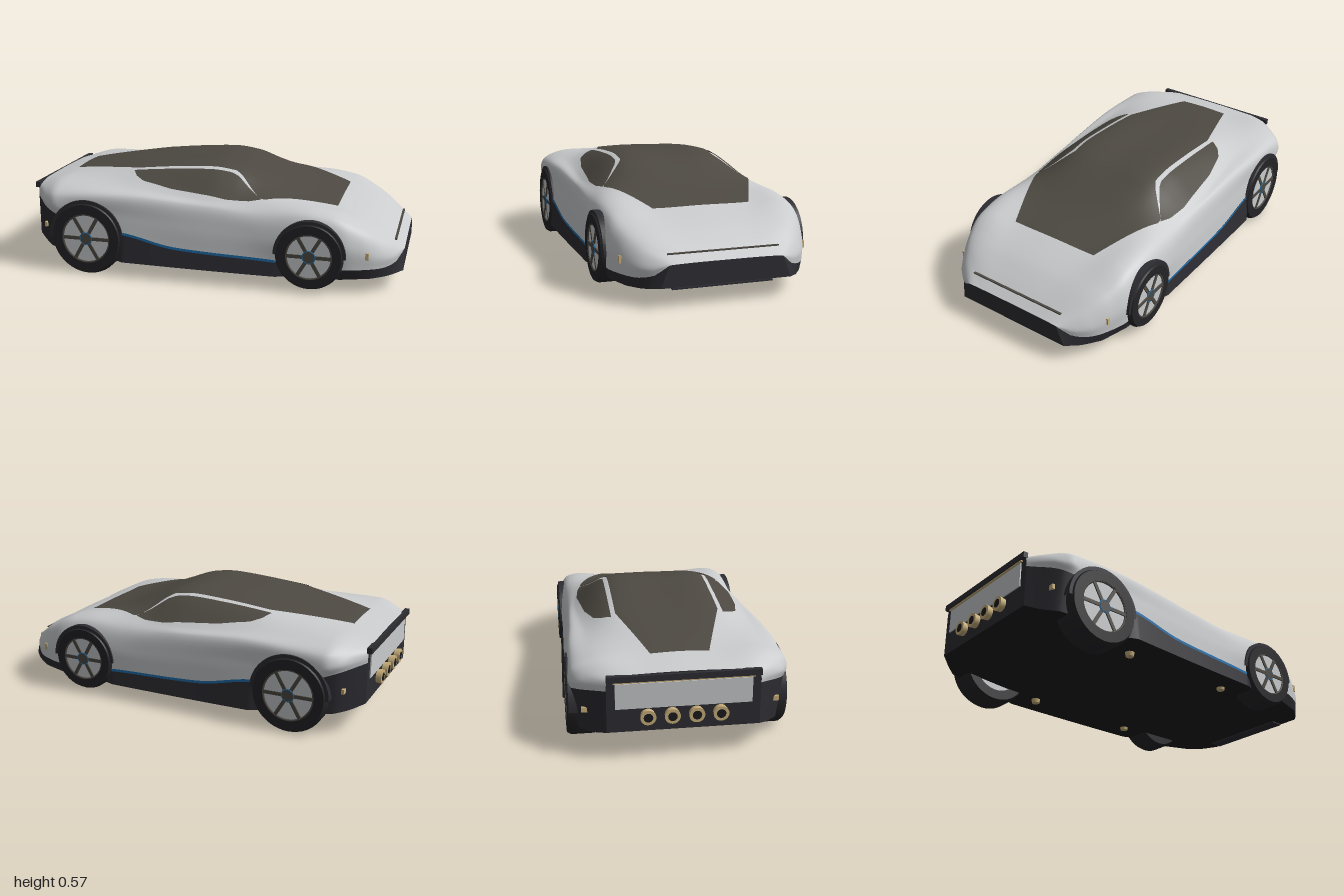
import * as THREE from 'three';
import { toCreasedNormals } from 'three/addons/utils/BufferGeometryUtils.js';

const mat = (name, color) => {
  const m = new THREE.MeshStandardMaterial({ color, side: THREE.DoubleSide });
  m.name = name;
  return m;
};
const silver = mat('silver paint', 0xc9cbcd), dark = mat('dark trim', 0x2c2c32);
const black = mat('black underside', 0x1b1b1e), tyreMat = mat('tyre rubber', 0x242427);
const glass = mat('tinted glass', 0x4d4942), blue = mat('blue accent', 0x1f72b0);
const gold = mat('gold metal', 0xc9b07c);

const lerp = THREE.MathUtils.lerp;

// Straight-line interpolation through [x, value] pairs
const line = (...p) => x => {
  let i = 0;
  while (i < p.length - 2 && x > p[i + 1][0]) i++;
  const t = (x - p[i][0]) / (p[i + 1][0] - p[i][0]);
  return lerp(p[i][1], p[i + 1][1], THREE.MathUtils.clamp(t, 0, 1));
};
// Smooth interpolation without overshoot
const smooth = (...p) => {
  const d = p.slice(1).map((q, i) => (q[1] - p[i][1]) / (q[0] - p[i][0]));
  const m = p.map((_, i) => {
    if (i === 0) return d[0];
    if (i === p.length - 1) return d[i - 1];
    return d[i - 1] * d[i] <= 0 ? 0 : 2 * d[i - 1] * d[i] / (d[i - 1] + d[i]);
  });
  return x => {
    let i = 0;
    while (i < p.length - 2 && x > p[i + 1][0]) i++;
    const h = p[i + 1][0] - p[i][0], t = (x - p[i][0]) / h, s = 1 - t;
    return p[i][1] * (1 + 2 * t) * s * s + m[i] * h * t * s * s
      + p[i + 1][1] * t * t * (3 - 2 * t) - m[i + 1] * h * t * t * s;
  };
};

// Lengthwise profiles: half widths (z) and heights (y)
const X0 = -0.97, X1 = 1;
const bottomZ = line([X0, .36], [-.85, .47], [-.75, .5], [-.5, .505], [-.43, .542], [.38, .518], [.45, .49], [.7, .485], [.85, .44], [.95, .37], [X1, .32]);
const bottomY = smooth([X0, .15], [-.9, .125], [-.78, .11], [-.45, .085], [.4, .076], [.9, .085], [X1, .1]);
const sillZ = smooth([X0, .36], [-.85, .49], [-.78, .515], [-.6, .515], [-.42, .522], [0, .515], [.38, .505], [.7, .5], [.85, .45], [.95, .365], [X1, .28]);
const sillY = smooth([X0, .36], [-.8, .31], [-.7, .26], [-.42, .235], [-.15, .18], [0, .17], [.36, .155], [.5, .14], [.9, .135], [.96, .15], [X1, .205]);
const rows = [
  [smooth([X0, .36], [-.92, .43], [-.87, .49], [-.8, .525], [-.7, .52], [-.5, .515], [-.2, .51], [.2, .502], [.5, .51], [.7, .505], [.8, .475], [.9, .42], [.96, .355], [X1, .274]),
   smooth([X0, .385], [-.8, .36], [-.5, .33], [0, .29], [.36, .27], [.6, .28], [.8, .23], [.9, .19], [.96, .185], [X1, .206])],
  [smooth([X0, .35], [-.9, .43], [-.8, .505], [-.6, .507], [-.3, .492], [.2, .478], [.5, .478], [.7, .467], [.8, .44], [.9, .385], [X1, .262]),
   smooth([X0, .41], [-.8, .42], [-.45, .43], [0, .4], [.3, .375], [.5, .387], [.65, .375], [.8, .31], [.9, .25], [X1, .207])],
  [smooth([X0, .3], [-.8, .4], [-.4, .42], [0, .44], [.25, .42], [.45, .42], [.7, .4], [.85, .36], [X1, .2]),
   smooth([X0, .43], [-.8, .465], [-.4, .455], [0, .428], [.25, .425], [.5, .42], [.65, .4], [.8, .335], [.9, .275], [X1, .209])],
  [line([X0, .16], [-.8, .17], [-.42, .265], [.13, .265], [.65, .25], [X1, .1]),
   smooth([X0, .438], [-.8, .474], [-.42, .522], [-.2, .544], [0, .555], [.12, .541], [.25, .497], [.4, .447], [.5, .421], [.65, .387], [.8, .335], [.9, .279], [X1, .21])],
];
const crownY = smooth([X0, .44], [-.8, .48], [-.6, .508], [-.4, .532], [-.2, .553], [0, .565], [.1, .555], [.2, .528], [.3, .492], [.4, .455], [.5, .425], [.65, .388], [.8, .337], [.9, .28], [X1, .21]);

// Upper-body cross-section from the left sill over the roof to the right sill
const section = x => {
  const half = [[sillZ, sillY], ...rows].map(([z, y]) => new THREE.Vector3(x, y(x), z(x)));
  const other = half.map(p => new THREE.Vector3(x, p.y, -p.z)).reverse();
  return new THREE.CatmullRomCurve3([...half, new THREE.Vector3(x, crownY(x), 0), ...other]);
};
// Skin height at (x, z)
const skin = x => {
  const c = section(x), pts = [];
  for (let i = 0; i <= 40; i++) pts.push(c.getPoint(.5 - i / 80));
  return z => {
    const a = Math.abs(z);
    let i = 0;
    while (i < 39 && pts[i + 1].z < a) i++;
    return lerp(pts[i].y, pts[i + 1].y, (a - pts[i].z) / (pts[i + 1].z - pts[i].z));
  };
};

// Surface whose column(u) returns a function of v giving [x, y, z]
function sheet(nu, nv, column) {
  const pos = [], idx = [];
  for (let i = 0; i <= nu; i++) {
    const f = column(i / nu);
    for (let j = 0; j <= nv; j++) pos.push(...f(j / nv));
  }
  for (let i = 0; i < nu; i++) for (let j = 0; j < nv; j++) {
    const a = i * (nv + 1) + j, b = a + nv + 1;
    idx.push(a, b, b + 1, a, b + 1, a + 1);
  }
  const g = new THREE.BufferGeometry();
  g.setAttribute('position', new THREE.Float32BufferAttribute(pos, 3));
  g.setIndex(idx);
  g.computeVertexNormals();
  return g;
}

export function createModel() {
  const car = new THREE.Group();
  car.name = 'sportsCar';
  const add = (name, geo, m, x = 0, y = 0, z = 0, parent = car) => {
    const mesh = new THREE.Mesh(geo, m);
    mesh.name = name;
    mesh.position.set(x, y, z);
    parent.add(mesh);
    return mesh;
  };
  const box = (name, m, w, h, d, x, y, z, parent) => add(name, new THREE.BoxGeometry(w, h, d), m, x, y, z, parent);

  // Painted shell and floor
  add('bodyShell', sheet(120, 60, u => {
    const c = section(lerp(X0, X1, u));
    return v => c.getPoint(v).toArray();
  }), silver);
  add('floor', sheet(80, 1, u => {
    const x = lerp(X0, X1, u);
    return v => [x, bottomY(x), bottomZ(x) * (2 * v - 1)];
  }), black);

  // Nose and tail faces
  for (const [name, x] of [['noseIntake', X1], ['tailFace', X0]]) {
    const c = section(x);
    add(name, sheet(1, 60, u => v => {
      const p = c.getPoint(v);
      return [x, lerp(bottomY(x), p.y, u), lerp(bottomZ(x) * (1 - 2 * v), p.z, u)];
    }), dark);
  }

  // Roof, windscreen and rear glass in one panel
  const roofEdge = line([-.83, .14], [-.42, .262], [.12, .262], [.16, .29], [.27, .395], [.3, .4], [.65, .25]);
  add('roofGlass', sheet(100, 40, u => {
    const x = lerp(-.83, .65, u), h = skin(x), w = roofEdge(x);
    return v => { const z = w * (1 - 2 * v); return [x, h(z) + .005, z]; };
  }), glass);

  const winIn = line([-.44, .285], [.1, .285], [.14, .3], [.28, .4]);
  const winOut = line([-.44, .287], [-.41, .335], [-.36, .37], [-.2, .405], [.1, .43], [.22, .42], [.28, .402]);
  for (const s of [1, -1]) {
    const side = s > 0 ? 'left' : 'right';
    add(side + 'SideWindow', sheet(50, 14, u => {
      const x = lerp(-.44, .28, u), h = skin(x);
      return v => { const z = lerp(winOut(x), winIn(x), s > 0 ? v : 1 - v); return [x, h(z) + .005, s * z]; };
    }), glass);
    // Sill and bumper band with blue pinstripe
    add(side + 'Sill', sheet(120, 1, u => {
      const x = lerp(X0, X1, u);
      return v => { const t = s > 0 ? v : 1 - v; return [x, lerp(bottomY(x), sillY(x), t), s * lerp(bottomZ(x), sillZ(x), t)]; };
    }), dark);
    add(side + 'Pinstripe', sheet(40, 1, u => {
      const x = lerp(-.43, .38, u);
      return v => [x, sillY(x) - .007 + .014 * (s > 0 ? v : 1 - v), s * (sillZ(x) + .005)];
    }), blue);
    // Side markers and jacking feet
    box(side + 'FrontMarker', gold, .016, .036, .02, .83, .205, s * .459);
    box(side + 'RearMarker', gold, .014, .025, .03, -.885, .235, s * .455);
    for (const x of [-.36, .285]) add(side + 'JackPoint', new THREE.CylinderGeometry(.026, .02, .03, 16), gold, x, .077, s * .4);
  }

  // Wheels: axis along local y, outer face at +w/2
  const w = .15;
  for (const [end, x, r, face] of [['rear', -.63, .195, .534], ['front', .55, .172, .524]]) for (const s of [1, -1]) {
    const wheel = new THREE.Group();
    wheel.name = (s > 0 ? 'left' : 'right') + end[0].toUpperCase() + end.slice(1) + 'Wheel';
    wheel.position.set(x, .195, s * (face - w / 2));
    wheel.rotation.x = s * Math.PI / 2;
    car.add(wheel);
    const profile = [[.68, -.5], [.94, -.5], [1, -.38], [1, .38], [.94, .5], [.68, .5], [.68, .4]];
    const tyre = new THREE.LatheGeometry(profile.map(([a, b]) => new THREE.Vector2(a * r, b * w)), 48);
    add('tyre', toCreasedNormals(tyre, .6), tyreMat, 0, 0, 0, wheel);
    add('rimDisc', new THREE.CylinderGeometry(r * .69, r * .69, w - .01, 40), silver, 0, -.002, 0, wheel);
    add('rimRing', new THREE.TorusGeometry(r * .67, .006, 6, 48).rotateX(Math.PI / 2), glass, 0, w / 2 - .006, 0, wheel);
    for (let i = 0; i < 3; i++) box('spokePair', glass, r * 1.34, .008, .018, 0, w / 2 - .005, 0, wheel).rotation.y = i * Math.PI / 3;
    add('hub', new THREE.CylinderGeometry(.03, .03, .012, 24), glass, 0, w / 2 - .005, 0, wheel);
    add('hubRing', new THREE.TorusGeometry(.032, .003, 6, 24).rotateX(Math.PI / 2), blue, 0, w / 2 - .002, 0, wheel);
    // Arch lining above the tyre
    const arch = new THREE.CylinderGeometry(r + .011, r + .011, .1, 48, 1, false, Math.PI / 2, Math.PI).rotateX(Math.PI / 2);
    add(end + 'Arch', arch, dark, x, .195, s * (face - .058));
  }

  // Nose details
  box('noseSlot', glass, .012, .006, .55, .953, skin(.953)(0) + .002, 0);
  box('splitter', dark, .07, .008, .5, .92, .078, 0);

  // Tail: panel, light strip, spoiler lip and exhausts
  box('tailPanel', silver, .008, .125, .64, -.972, .33, 0);
  box('tailStrip', gold, .012, .006, .66, -.976, .4, 0);
  box('spoilerLip', dark, .025, .03, .72, -.975, .42, 0);
  for (const z of [-.17, -.057, .057, .17]) {
    add('exhaust', new THREE.CylinderGeometry(.037, .032, .05, 24).rotateZ(Math.PI / 2), gold, -.975, .228, z);
    add('exhaustBore', new THREE.CylinderGeometry(.022, .022, .004, 24).rotateZ(Math.PI / 2), black, -.9995, .228, z);
  }
  return car;
}
